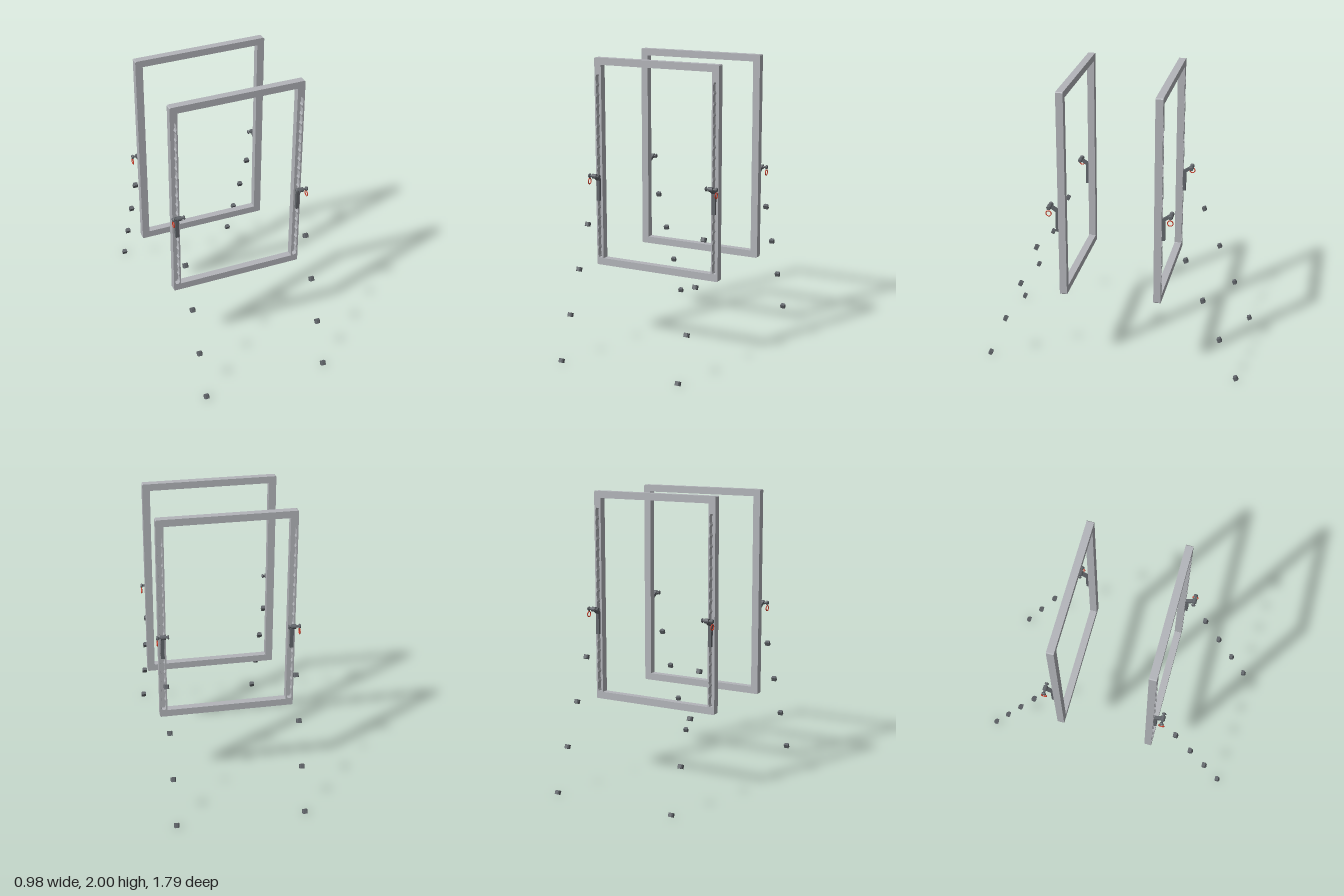
import * as THREE from 'three';

const mat = (name, color) => new THREE.MeshStandardMaterial({ name, color });

// Chain-shaped slot outline: wide pockets joined by narrower necks
function slotPath(cx, y0, y1, pockets) {
  const pitch = (y1 - y0) / pockets, wide = 0.016, neck = 0.010;
  const right = [];
  for (let i = 0; i < pockets; i++) {
    const y = y0 + i * pitch;
    right.push([neck, y], [wide, y + pitch * 0.22], [wide, y + pitch * 0.78]);
  }
  right.push([neck, y1]);
  const left = right.map(([x, y]) => [-x, y]).reverse();
  return new THREE.Path([...right, ...left].map(([x, y]) => new THREE.Vector2(cx + x, y)));
}

// Upright rectangle with cut corners
function rectShape(w, y0, y1, r) {
  const s = new THREE.Shape();
  s.moveTo(-w + r, y0).lineTo(w - r, y0).lineTo(w, y0 + r).lineTo(w, y1 - r);
  s.lineTo(w - r, y1).lineTo(-w + r, y1).lineTo(-w, y1 - r).lineTo(-w, y0 + r);
  s.closePath();
  return s;
}

export function createModel() {
  const steel = mat('frame grey', 0xb3b5ba);
  const dark = mat('dark metal', 0x62666b);
  const red = mat('red ring', 0xd0402c);
  const model = new THREE.Group();
  model.name = 'twinFrames';

  const add = (parent, name, geo, material, x = 0, y = 0, z = 0) => {
    const m = new THREE.Mesh(geo, material);
    m.name = name;
    m.position.set(x, y, z);
    parent.add(m);
    return m;
  };

  // Rectangular frame: solid back layer and a slotted front layer
  const frameLayer = (slotted, depth) => {
    const s = rectShape(0.466, 0.553, 2, 0.006);
    s.holes.push(new THREE.Path(rectShape(0.415, 0.602, 1.952, 0.001).getPoints()));
    if (slotted) for (const side of [-1, 1]) s.holes.push(slotPath(side * 0.44, 0.605, 1.885, 18));
    return new THREE.ExtrudeGeometry(s, { depth, bevelEnabled: false });
  };
  const backGeo = frameLayer(false, 0.014);
  const frontGeo = frameLayer(true, 0.036);

  // Bracket side profile in (z, y): upright plate with an arm bent outward
  const bracketShape = new THREE.Shape([
    [0.350, 1.015], [0.371, 1.015], [0.371, 1.158], [0.418, 1.190],
    [0.406, 1.207], [0.350, 1.170],
  ].map(([z, y]) => new THREE.Vector2(z, y)));
  const bracketGeo = new THREE.ExtrudeGeometry(bracketShape, { depth: 0.024, bevelEnabled: false });
  bracketGeo.translate(0, 0, -0.012).rotateY(-Math.PI / 2);

  // Cross pin with flared ends
  const pinGeo = new THREE.LatheGeometry([
    [0, -0.038], [0.012, -0.038], [0.016, -0.032], [0.008, -0.026], [0.008, -0.018],
    [0.016, -0.016], [0.016, 0.016], [0.008, 0.018], [0.008, 0.032], [0.016, 0.038], [0.012, 0.048], [0, 0.048],
  ].map(([r, y]) => new THREE.Vector2(r, y)), 24).toNonIndexed();
  pinGeo.computeVertexNormals();
  pinGeo.rotateZ(-Math.PI / 2);
  const ringGeo = new THREE.TorusGeometry(0.0185, 0.0035, 18, 40).rotateY(Math.PI / 2);

  // Small block, chamfered on its outer corners
  const blockShape = new THREE.Shape([
    [-0.017, 0.014], [-0.017, -0.007], [-0.010, -0.014],
    [0.010, -0.014], [0.017, -0.007], [0.017, 0.014],
  ].map(([x, z]) => new THREE.Vector2(x, z)));
  const blockGeo = new THREE.ExtrudeGeometry(blockShape, { depth: 0.028, bevelEnabled: false });
  blockGeo.translate(0, 0, -0.014).rotateX(-Math.PI / 2);

  for (const facing of [0, 1]) {
    const half = new THREE.Group();
    half.name = facing ? 'backHalf' : 'frontHalf';
    half.rotation.y = facing * Math.PI;
    model.add(half);

    add(half, 'frameBack', backGeo, steel, 0, 0, 0.300);
    add(half, 'slottedFrameFace', frontGeo, steel, 0, 0, 0.314);

    for (const side of [-1, 1]) {
      const x = side * 0.44;
      add(half, 'bracket', bracketGeo, dark, x);
      const pin = add(half, 'crossPin', pinGeo, dark, x, 1.196, 0.41);
      if (side < 0) pin.rotation.y = Math.PI;
      add(half, 'pullRing', ringGeo, red, side * 0.481, 1.158, 0.41);

      // Sloping line of blocks leading down and outward
      for (let i = 0; i < 4; i++) {
        const block = add(half, 'block' + (i + 1), blockGeo, dark,
          x, 0.882 - i * 0.2875, 0.512 + i * 0.1213);
        block.rotation.x = -0.4;
      }
    }
  }
  return model;
}
